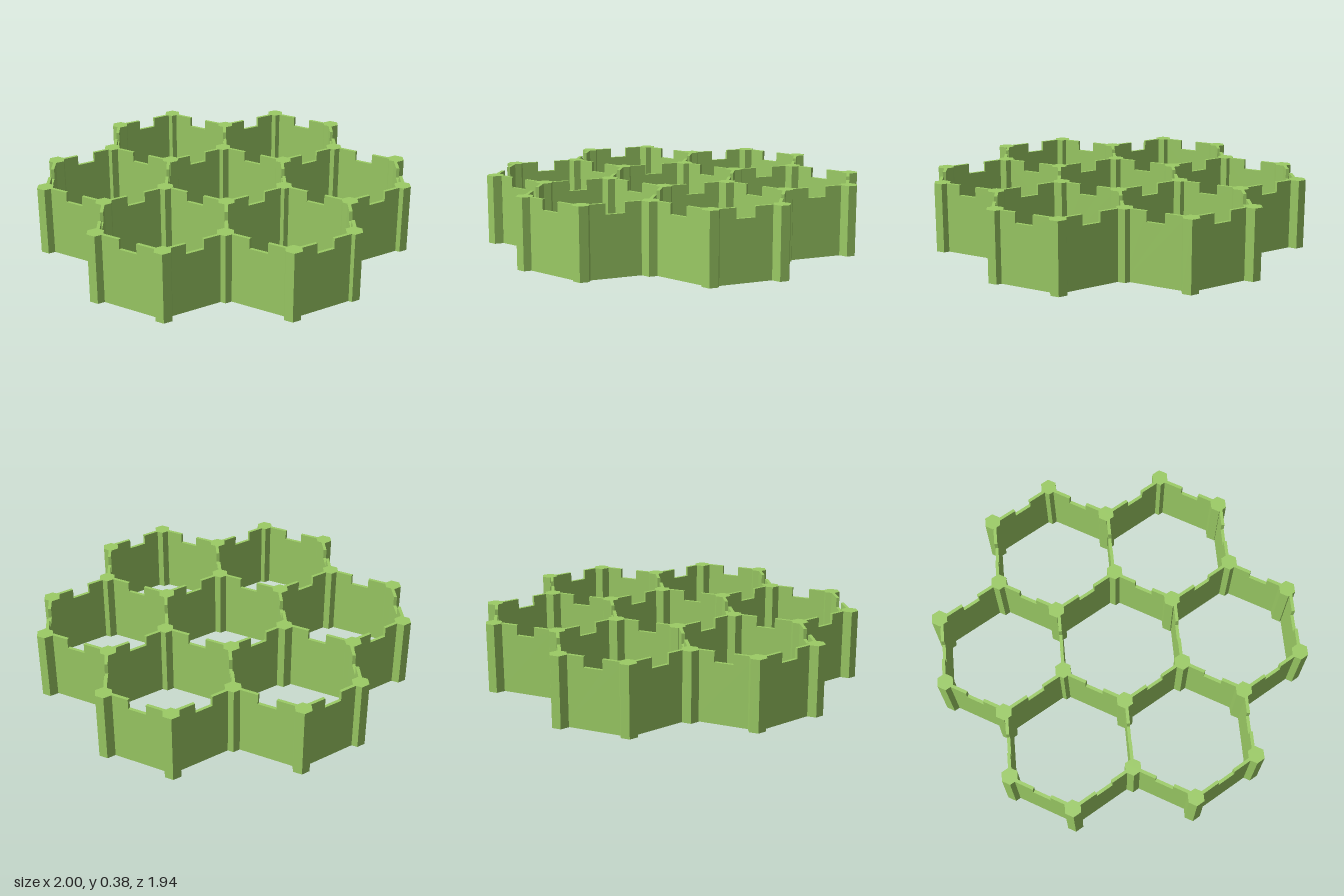
import * as THREE from 'three';

const HEIGHT = 0.375, SIDE = 0.365, WALL = 0.017, POST = 0.047;
const PITCH = SIDE * Math.sqrt(3);

export function createModel() {
  const group = new THREE.Group();
  group.name = 'honeycombFrame';
  const material = new THREE.MeshStandardMaterial({ color: 0x9ccc65, flatShading: true });

  // Hexagonal posts, each sitting slightly off its lattice corner as [x, z]
  const posts = [
    [-0.32, -0.923], [0.315, -0.923],
    [-0.627, -0.728], [0.005, -0.728], [0.64, -0.735],
    [-0.646, -0.372], [-0.011, -0.372], [0.625, -0.372],
    [-0.941, -0.19], [-0.306, -0.19], [0.325, -0.18], [0.957, -0.19],
    [-0.957, 0.178], [-0.322, 0.178], [0.31, 0.17], [0.941, 0.174],
    [-0.632, 0.367], [0.002, 0.367], [0.641, 0.367],
    [-0.642, 0.725], [-0.006, 0.725], [0.626, 0.716],
    [-0.306, 0.919], [0.318, 0.914],
  ];
  const postGeometry = new THREE.CylinderGeometry(POST, POST, HEIGHT, 6);
  for (const [x, z] of posts) {
    const post = new THREE.Mesh(postGeometry, material);
    post.name = 'cornerPost';
    post.position.set(x, HEIGHT / 2, z);
    group.add(post);
  }

  // Wall panel with a rectangular notch in the middle of its top edge
  const half = SIDE / 2 - 0.015, notch = 0.05, notchY = 0.32;
  const outline = new THREE.Shape([
    [-half, 0], [half, 0], [half, HEIGHT], [notch, HEIGHT],
    [notch, notchY], [-notch, notchY], [-notch, HEIGHT], [-half, HEIGHT],
  ].map(([x, y]) => new THREE.Vector2(x, y)));
  const wallGeometry = new THREE.ExtrudeGeometry(outline, { depth: WALL, bevelEnabled: false });
  wallGeometry.translate(0, 0, -WALL / 2);

  // One centre cell and six around it; walls shared by two cells are made once
  const cells = [[0, 0]];
  for (let i = 0; i < 6; i++) {
    const a = i * Math.PI / 3;
    cells.push([PITCH * Math.cos(a), PITCH * Math.sin(a)]);
  }
  const built = new Set();
  for (const [cx, cz] of cells) {
    for (let i = 0; i < 6; i++) {
      const a = i * Math.PI / 3;
      const x = cx + PITCH / 2 * Math.cos(a), z = cz + PITCH / 2 * Math.sin(a);
      const key = `${Math.round(x * 100)},${Math.round(z * 100)}`;
      if (built.has(key)) continue;
      built.add(key);
      const wall = new THREE.Mesh(wallGeometry, material);
      wall.name = 'notchedWall';
      wall.position.set(x, 0, z);
      wall.rotation.y = Math.PI / 2 - a;
      group.add(wall);
    }
  }
  return group;
}
